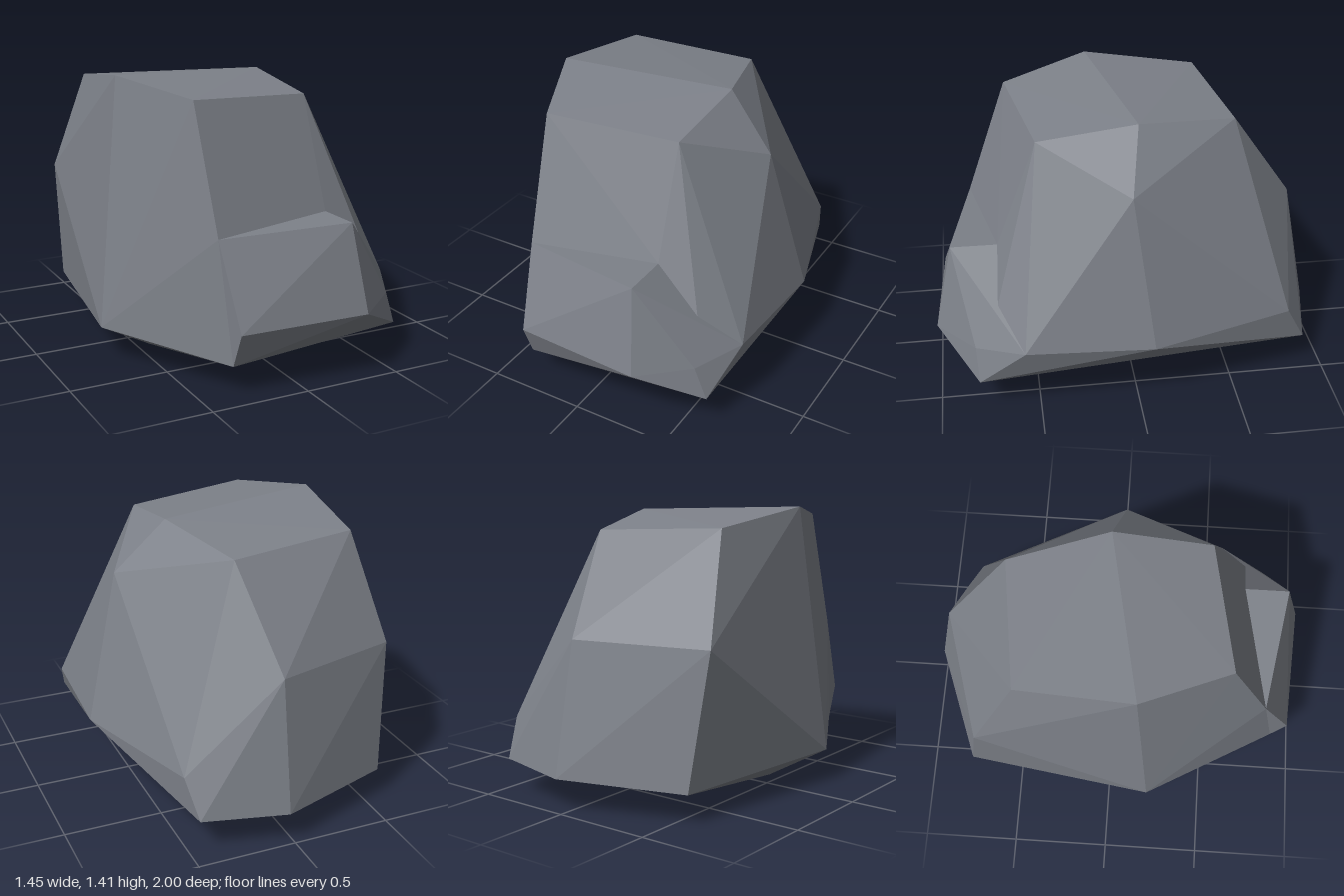
import * as THREE from 'three';
import { ConvexGeometry } from 'three/addons/geometries/ConvexGeometry.js';

const stone = new THREE.MeshStandardMaterial({ color: 0x7d8189 });
stone.name = 'grey stone';
stone.flatShading = true;

// A faceted stone wrapped tightly around its corner points
function facetedStone(name, corners) {
  const points = corners.map(([x, y, z]) => new THREE.Vector3(x, y, z));
  const mesh = new THREE.Mesh(new ConvexGeometry(points), stone);
  mesh.name = name;
  return mesh;
}

export function createModel() {
  const group = new THREE.Group();
  group.name = 'rock';

  // Corners where the front ledge meets the boulder
  const shared = [
    [-0.37, 0.735, 0.795], // left end of the ledge
    [0.28, 0.76, 0.67],    // inner corner of the ledge
    [0.69, 0.37, 0.57],    // right end of the ledge
    [0.62, 0.17, 0.80],    // lower right
    [-0.34, 0.145, 0.89],  // lower left
  ];

  const boulder = [
    // crown
    [-0.59, 1.413, 0.13], [-0.39, 1.345, 0.58], [0.27, 1.31, 0.46],
    [0.28, 1.377, -0.04], [0.13, 1.307, -0.55], [-0.535, 1.34, -0.455],
    // shoulders
    [0.535, 1.11, 0.02], [0.02, 0.82, -0.88], [-0.64, 0.813, -0.68],
    // widest ring
    [0.72, 0.362, -0.07], [0.49, 0.362, -0.80], [0.45, 0.17, -0.90],
    [0.03, 0.167, -1.0], [-0.58, 0.15, -0.77], [-0.725, 0.17, 0.21],
    // underside
    [-0.43, 0, 0.13], [0.23, 0.02, 0.03],
  ];

  const ledge = [
    [0.28, 0.762, 0.905],  // top front corner
    [0.325, 0.328, 1.0],   // front right
    [-0.335, 0.32, 0.96],  // front left
    [0.56, 0.34, 0.81],    // right cheek
  ];

  group.add(
    facetedStone('boulder', [...boulder, ...shared]),
    facetedStone('frontLedge', [...ledge, ...shared]),
  );
  return group;
}
